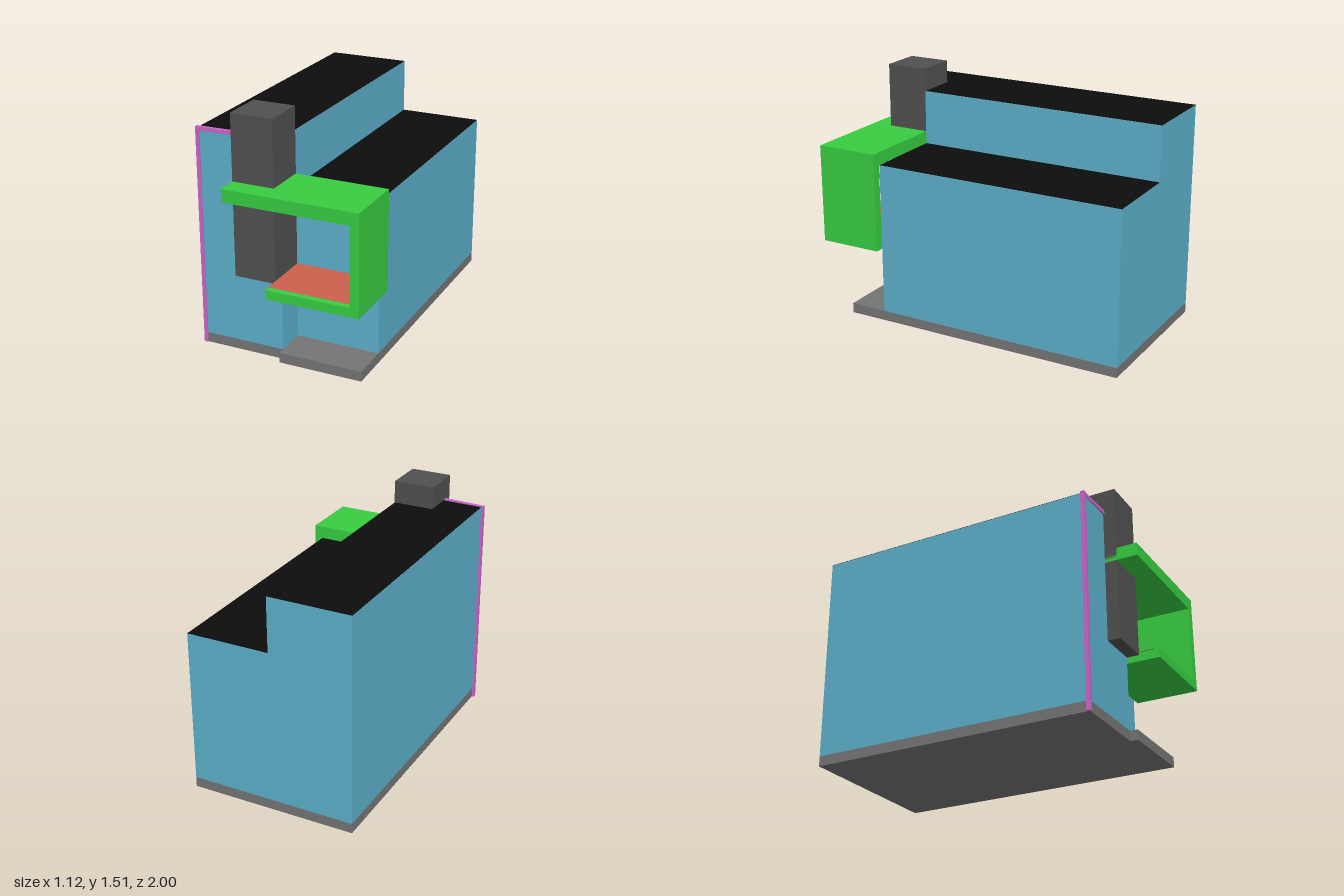
import * as THREE from 'three';

const paint = (color) => new THREE.MeshStandardMaterial({ color });

export function createModel() {
  const model = new THREE.Group();
  const wall = paint(0x5cb0cb), roof = paint(0x0d0d0d), stone = paint(0x757575);
  const dark = paint(0x505050), green = paint(0x37cd41), trim = paint(0xcc66cc), red = paint(0xcc5f4d);
  roof.side = red.side = THREE.DoubleSide;

  const add = (name, geometry, material) => {
    const mesh = new THREE.Mesh(geometry, material);
    mesh.name = name;
    model.add(mesh);
    return mesh;
  };
  // Box given by its lower and upper limits on each axis
  const box = (name, material, [x0, x1], [y0, y1], [z0, z1]) =>
    add(name, new THREE.BoxGeometry(x1 - x0, y1 - y0, z1 - z0), material)
      .position.set((x0 + x1) / 2, (y0 + y1) / 2, (z0 + z1) / 2);
  // Horizontal sheet facing up
  const sheet = (name, material, [x0, x1], y, [z0, z1]) =>
    add(name, new THREE.PlaneGeometry(x1 - x0, z1 - z0).rotateX(-Math.PI / 2), material)
      .position.set((x0 + x1) / 2, y, (z0 + z1) / 2);

  // Two wings, each with its foundation, walls and flat roof
  const wings = [
    { name: 'tall', x: [-0.545, -0.024], top: 1.366, front: 0.795, baseFront: 0.795 },
    { name: 'low', x: [-0.024, 0.503], top: 1.024, front: 0.602, baseFront: 0.843 },
  ];
  for (const { name, x, top, front, baseFront } of wings) {
    box(name + 'Foundation', stone, x, [0, 0.063], [-1, baseFront]);
    box(name + 'Walls', wall, x, [0.063, top - 0.002], [-1, front]);
    sheet(name + 'Roof', roof, x, top, [-1, front]);
  }

  // Chimney-like pillar
  box('pillar', dark, [-0.285, -0.022], [0.521, 1.509], [0.604, 0.872]);

  // C-shaped balcony frame, open towards the pillar
  const profile = new THREE.Shape([
    [-0.285, 1.024], [0.503, 1.024], [0.503, 0.539], [-0.02, 0.539],
    [-0.02, 0.482], [0.557, 0.482], [0.557, 1.104], [-0.285, 1.104],
  ].map(([x, y]) => new THREE.Vector2(x, y)));
  add('balconyFrame', new THREE.ExtrudeGeometry(profile, { depth: 0.396, bevelEnabled: false }), green)
    .position.z = 0.604;
  sheet('balconyFloor', red, [-0.02, 0.503], 0.542, [0.604, 0.965]);

  // Edge trim: upright strip and slightly tilted top strip
  box('uprightTrim', trim, [-0.559, -0.535], [0, 1.37], [0.777, 0.802]);
  const topTrim = add('topTrim', new THREE.BoxGeometry(0.27, 0.024, 0.022), trim);
  topTrim.position.set(-0.424, 1.361, 0.791);
  topTrim.rotation.set(0, -0.02, 0.02);

  return model;
}
